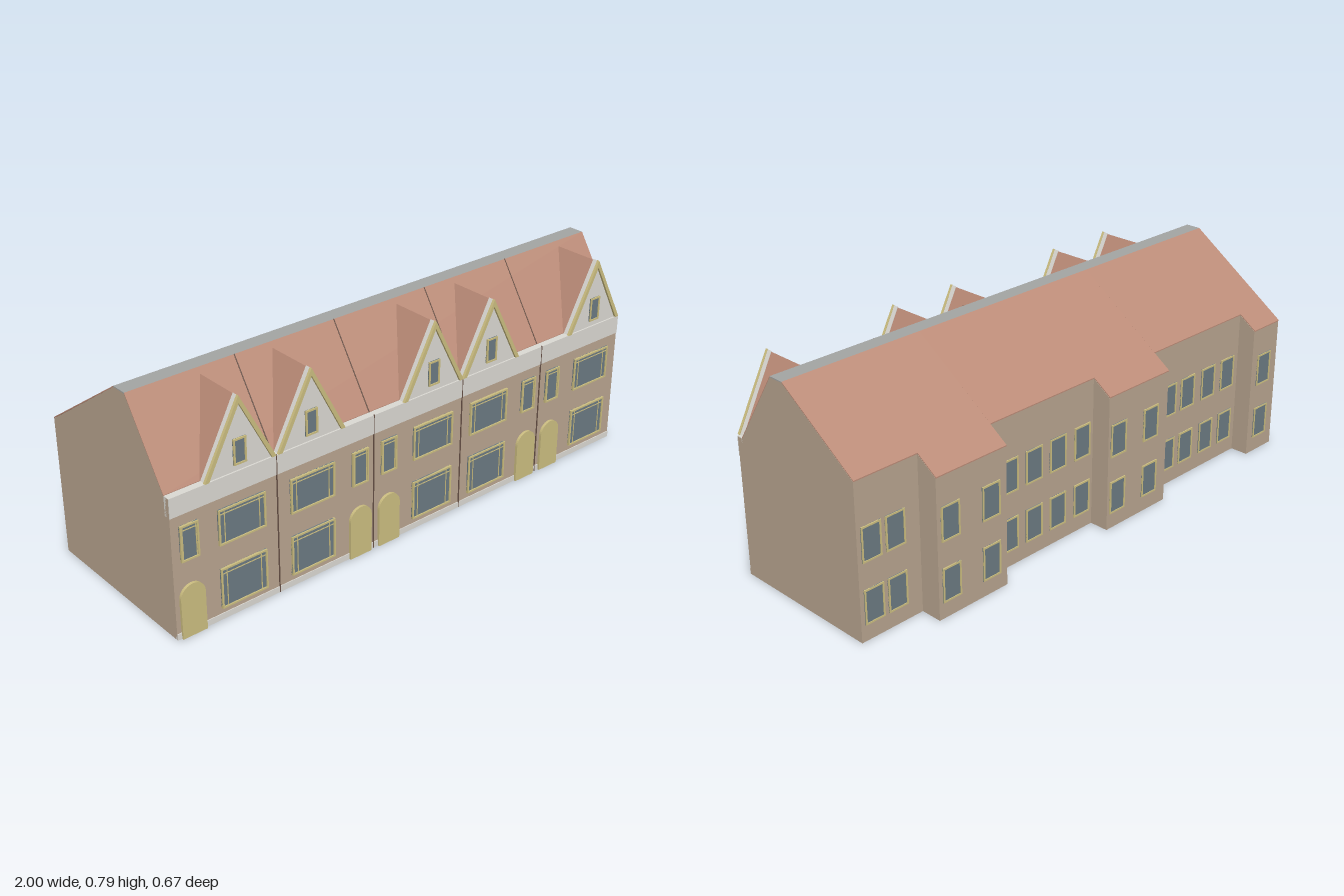
import * as THREE from 'three';

const mat = (color) => new THREE.MeshStandardMaterial({ color, flatShading: true });
const M = {
  wall: mat(0xb8a48f), roof: mat(0xbc8c78), white: mat(0xdad8d2), ridge: mat(0xa2a4a2),
  yellow: mat(0xcbbd80), glass: mat(0x6b7a82), seam: mat(0x6a5348),
};
const FRONT = 0.325;                       // front wall plane
const EAVE = 0.515, RIDGE = 0.785;
const Z_EAVE = 0.302, Z_RF = 0.124, Z_RB = 0.065;
const backY = (z) => RIDGE - (Z_RB - z) * 0.684;   // height of the rear slope

function add(parent, name, geo, material, x = 0, y = 0, z = 0) {
  const m = new THREE.Mesh(geo, material);
  m.name = name;
  m.position.set(x, y, z);
  parent.add(m);
  return m;
}
const box = (p, name, w, h, d, material, x, y, z) =>
  add(p, name, new THREE.BoxGeometry(w, h, d), material, x, y, z);

const shapeOf = (pts) => new THREE.Shape(pts.map(([x, y]) => new THREE.Vector2(x, y)));
const extrude = (shape, depth) =>
  new THREE.ExtrudeGeometry(shape, { depth, bevelEnabled: false, curveSegments: 10 });

// a (z, y) outline swept along x from x0 to x1
function sweepX(p, name, pts, x0, x1, material) {
  const geo = extrude(shapeOf(pts), x1 - x0).rotateY(-Math.PI / 2);
  return add(p, name, geo, material, x1, 0, 0);
}

// framed window centred on its own origin, facing +z
function makeWindow(name, w, h, depth, bars) {
  const g = new THREE.Group(), t = 0.006;
  g.name = name;
  box(g, 'glass', w, h, depth * 0.5, M.glass, 0, 0, depth * 0.25);
  for (const s of [-1, 1]) {
    box(g, 'frameSide', t, h, depth, M.yellow, s * (w - t) / 2, 0, depth / 2);
    box(g, 'frameRail', w, t, depth, M.yellow, 0, s * (h - t) / 2, depth / 2);
    if (bars) box(g, 'mullion', 0.003, h, depth * 0.7, M.yellow, s * w * 0.37, 0, depth * 0.35);
  }
  if (bars) box(g, 'transom', w, 0.003, depth * 0.7, M.yellow, 0, h * 0.36, depth * 0.35);
  return g;
}
function place(p, win, x, y, z, turn = 0) {
  win.position.set(x, y, z);
  win.rotation.y = turn;
  p.add(win);
}

function makeDoor() {
  const w = 0.046, spring = 0.145, s = new THREE.Shape();
  s.moveTo(-w, 0);
  s.lineTo(w, 0);
  s.lineTo(w, spring);
  s.absarc(0, spring, w, 0, Math.PI, false);
  s.closePath();
  return extrude(s, 0.01);
}

function makeDormer() {
  const g = new THREE.Group(), H = 0.252, W = 0.132;
  g.name = 'dormer';
  // roof prism running back into the main slope
  add(g, 'dormerRoof', extrude(shapeOf([[-W, 0], [W, 0], [0, H]]), 0.175), M.roof, 0, 0, 0.13);
  add(g, 'gableBoard', extrude(shapeOf([[-W, 0], [W, 0], [0, H + 0.003]]), 0.02), M.white, 0, 0, 0.305);
  // chevron trim along the gable rakes
  const rake = [[-W - 0.003, 0], [-W + 0.013, 0], [0, H - 0.023], [W - 0.013, 0], [W + 0.003, 0], [0, H + 0.004]];
  add(g, 'rakeTrim', extrude(shapeOf(rake), 0.01), M.yellow, 0, 0, 0.323);
  place(g, makeWindow('dormerWindow', 0.048, 0.09, 0.007, false), 0, 0.067, 0.325);
  return g;
}

export function createModel() {
  const model = new THREE.Group();
  model.name = 'terracedHouses';

  // bays with stepped rear walls: [x0, x1, rear z, window columns]
  const bays = [
    [-1, -0.85, -0.331, [-0.92]],
    [-0.85, -0.35, -0.262, [-0.785, -0.67, -0.55, -0.445]],
    [-0.35, -0.04, -0.331, [-0.26, -0.09]],
    [-0.04, 0.45, -0.258, [0.015, 0.135, 0.25, 0.365]],
    [0.45, 0.75, -0.331, [0.52, 0.695]],
    [0.75, 1, -0.251, [0.85, 0.945]],
  ];
  const t = 0.004;
  for (const [x0, x1, zb, columns] of bays) {
    const bay = new THREE.Group();
    bay.name = 'bay';
    model.add(bay);
    sweepX(bay, 'walls', [[FRONT, 0], [FRONT, EAVE - t], [Z_EAVE, EAVE - t], [Z_RF, RIDGE - t],
      [Z_RB, RIDGE - t], [zb, backY(zb) - t], [zb, 0]], x0, x1, M.wall);
    sweepX(bay, 'rearRoof', [[Z_RB, RIDGE], [Z_RB, RIDGE - t], [zb - 0.002, backY(zb) - t],
      [zb - 0.002, backY(zb)]], x0, x1, M.roof);
    for (const x of columns) for (const y of [0.122, 0.342])
      place(bay, makeWindow('rearWindow', 0.078, 0.125, 0.005, false), x, y, zb, Math.PI);
  }

  // front slope, flat ridge, parapet band and plinth
  sweepX(model, 'frontRoof', [[Z_EAVE, EAVE], [Z_RF, RIDGE], [Z_RF, RIDGE - t], [Z_EAVE, EAVE - t]], -1, 1, M.roof);
  box(model, 'ridgeCap', 2, t, Z_RF - Z_RB, M.ridge, 0, RIDGE - t / 2, (Z_RF + Z_RB) / 2);
  box(model, 'corniceBand', 2, 0.07, 0.026, M.white, 0, 0.478, 0.315);
  box(model, 'plinth', 2, 0.022, 0.01, M.white, 0, 0.011, 0.323);

  // joints between neighbouring houses
  for (const x of [-0.6, -0.2, 0.2, 0.59]) {
    box(model, 'wallJoint', 0.003, EAVE, 0.004, M.seam, x, EAVE / 2, 0.3268);
    sweepX(model, 'roofJoint', [[Z_EAVE, EAVE + 0.002], [Z_RF, RIDGE + 0.001], [Z_RF, RIDGE - t],
      [Z_EAVE, EAVE - t]], x - 0.002, x + 0.002, M.seam);
  }

  // front windows, doors and dormers
  for (const x of [-0.74, -0.46, 0.065, 0.33, 0.86]) {
    place(model, makeWindow('upperWideWindow', 0.18, 0.128, 0.009, true), x, 0.341, FRONT);
    place(model, makeWindow('lowerWideWindow', 0.18, 0.148, 0.009, true), x, 0.117, FRONT);
  }
  for (const x of [-0.937, -0.26, -0.135, 0.53, 0.655])
    place(model, makeWindow('narrowWindow', 0.068, 0.128, 0.009, true), x, 0.341, FRONT);
  const door = makeDoor();
  for (const x of [-0.938, -0.26, -0.134, 0.53, 0.655])
    add(model, 'archedDoor', door, M.yellow, x, 0, FRONT);
  for (const x of [-0.738, -0.46, 0.063, 0.333, 0.86]) {
    const dormer = makeDormer();
    dormer.position.set(x, EAVE, 0);
    model.add(dormer);
  }
  return model;
}
